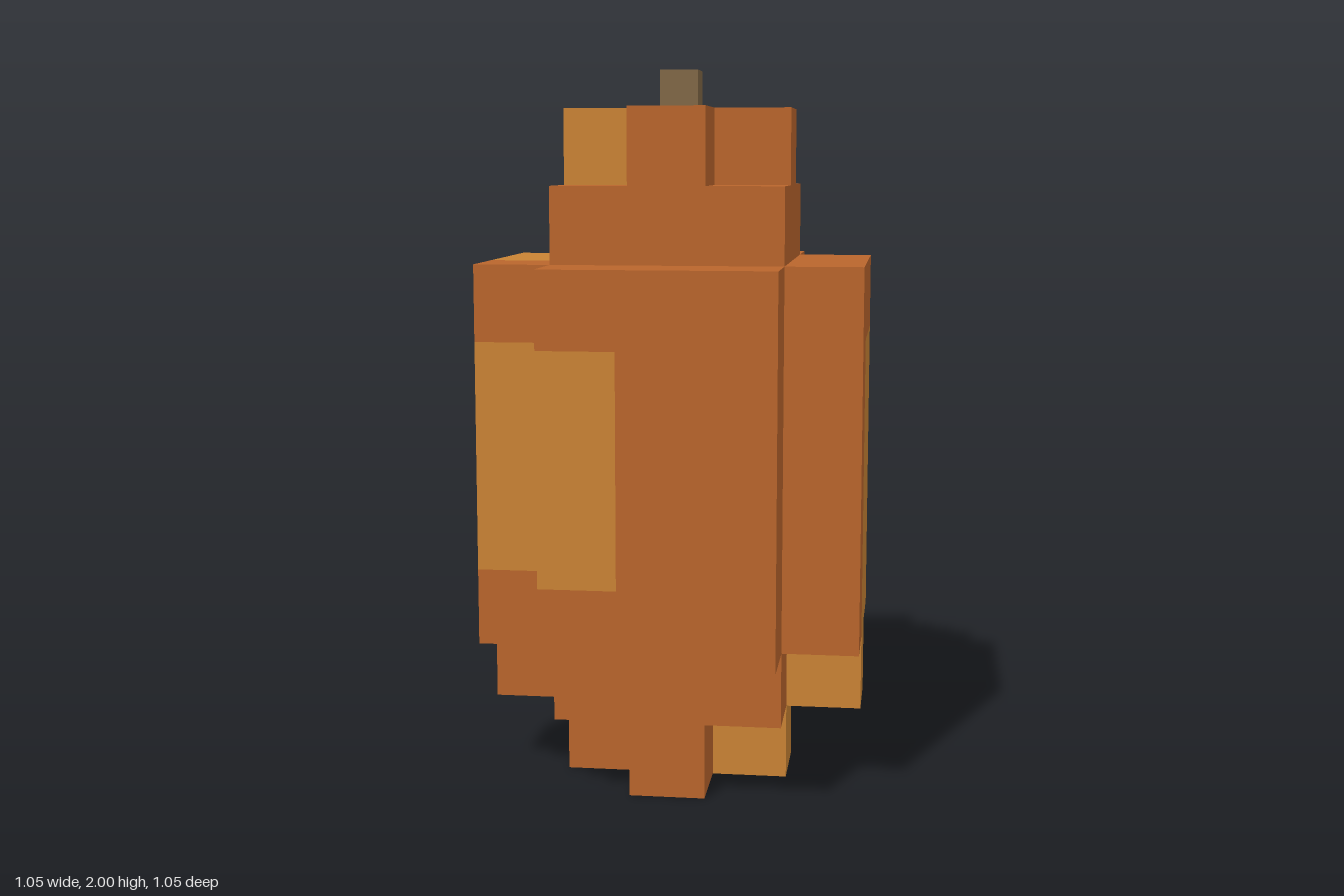
import * as THREE from 'three';
import { mergeGeometries } from 'three/addons/utils/BufferGeometryUtils.js';

const U = 2 / 9.5; // edge of one cube

// Stacked layers, bottom to top: name, first row, last row, footprint rule on |x|, |z|
const LAYERS = [
  ['foot', 0, 0, (x, z) => x + z <= 1],
  ['base', 1, 1, (x, z) => z <= 1 && (x <= 1 || (x === 2 && z === 0))],
  ['body', 2, 6, (x, z) => x <= 2 && z <= 2 && x + z < 4],
  ['shoulder', 7, 7, (x, z) => x <= 1 && z <= 1],
  ['crown', 8, 8, (x, z) => x + z <= 1],
];

// Blocks of lighter cubes: x, y and z ranges, inclusive
const LIGHT = [
  [0, 1, 0, 1, -1, 0],    // underside
  [2, 2, 1, 1, 0, 0],     // base arm
  [2, 2, 2, 5, -1, 0],    // left side
  [0, 1, 2, 5, -2, -2],   // back
  [-1, -1, 3, 6, -2, -2], // back corner
  [-2, -2, 3, 5, -1, 1],  // right side
  [-2, -2, 6, 6, -1, 0],  // right side top
  [-1, -1, 3, 5, 2, 2],   // front
  [-1, -1, 7, 8, -1, 0],  // shoulder and crown
];

const DIRECTIONS = [
  [1, 0, 0], [-1, 0, 0], [0, 1, 0], [0, -1, 0], [0, 0, 1], [0, 0, -1],
].map((d) => new THREE.Vector3(...d));

function isSolid(x, y, z) {
  const layer = LAYERS.find(([, y0, y1]) => y >= y0 && y <= y1);
  return !!layer && layer[3](Math.abs(x), Math.abs(z));
}

function isLight(x, y, z) {
  return LIGHT.some(([x0, x1, y0, y1, z0, z1]) =>
    x >= x0 && x <= x1 && y >= y0 && y <= y1 && z >= z0 && z <= z1);
}

// One outward square on the given side of a cube
function cubeFace(x, y, z, dir) {
  const turn = new THREE.Quaternion().setFromUnitVectors(new THREE.Vector3(0, 0, 1), dir);
  if (dir.z === -1) turn.setFromAxisAngle(new THREE.Vector3(0, 1, 0), Math.PI);
  return new THREE.PlaneGeometry(U, U)
    .applyQuaternion(turn)
    .translate((x + dir.x / 2) * U, (y + 0.5 + dir.y / 2) * U, (z + dir.z / 2) * U);
}

export function createModel() {
  const orange = new THREE.MeshStandardMaterial({ name: 'burnt orange', color: 0xb9652c });
  const amber = new THREE.MeshStandardMaterial({ name: 'amber', color: 0xc98334 });
  const brown = new THREE.MeshStandardMaterial({ name: 'stem brown', color: 0x806746 });
  const model = new THREE.Group();
  model.name = 'blockFruit';

  // Layers, with only the exposed cube faces
  for (const [name, y0, y1] of LAYERS) {
    const group = new THREE.Group();
    group.name = name;
    const dark = [];
    const light = [];
    for (let y = y0; y <= y1; y++)
      for (let x = -2; x <= 2; x++)
        for (let z = -2; z <= 2; z++) {
          if (!isSolid(x, y, z)) continue;
          const faces = isLight(x, y, z) ? light : dark;
          for (const d of DIRECTIONS)
            if (!isSolid(x + d.x, y + d.y, z + d.z)) faces.push(cubeFace(x, y, z, d));
        }
    for (const [faces, material, label] of [[dark, orange, 'Skin'], [light, amber, 'Patch']]) {
      if (!faces.length) continue;
      const mesh = new THREE.Mesh(mergeGeometries(faces), material);
      mesh.name = name + label;
      group.add(mesh);
    }
    model.add(group);
  }

  // Half-size cube on top
  const stem = new THREE.Mesh(new THREE.BoxGeometry(U / 2, U / 2, U / 2), brown);
  stem.name = 'stem';
  stem.position.y = 9.25 * U;
  model.add(stem);

  return model;
}
